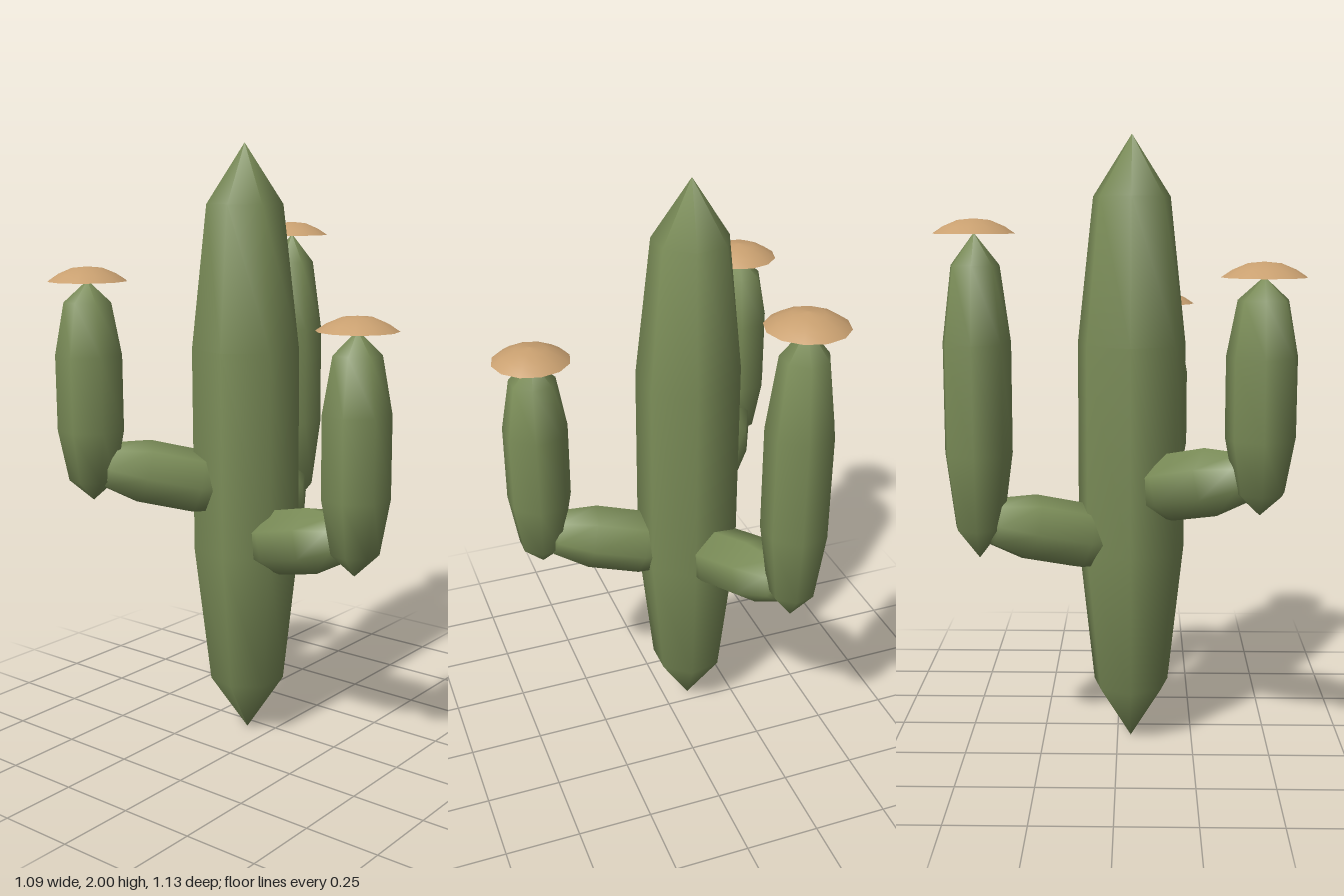
import * as THREE from 'three';

const SIDES = 7;

// Stretched seven-sided capsule between two points; caps take a third of the length each
function stem(name, from, to, radius, material) {
  const dir = to.clone().sub(from);
  const len = dir.length();
  dir.normalize();
  const k = Math.SQRT1_2;
  const cap = len * 0.33;
  const profile = [
    [0, 0], [radius * k, cap * (1 - k)], [radius, cap],
    [radius, len - cap], [radius * k, len - cap * (1 - k)], [0, len],
  ].map(([r, y]) => new THREE.Vector2(r, y));
  const mesh = new THREE.Mesh(new THREE.LatheGeometry(profile, SIDES, -Math.PI / 2), material);
  mesh.name = name;
  // Sloping stems keep one edge level with the ground
  if (dir.y < 0.999) {
    const x = new THREE.Vector3().crossVectors(dir, new THREE.Vector3(0, 1, 0)).normalize();
    const z = new THREE.Vector3().crossVectors(x, dir);
    mesh.quaternion.setFromRotationMatrix(new THREE.Matrix4().makeBasis(x, dir, z));
  }
  mesh.position.copy(from);
  return mesh;
}

// Shallow twelve-sided dome with a flat underside
function flower(position, material) {
  const group = new THREE.Group();
  group.name = 'flower';
  const profile = [[0.128, 0], [0.095, 0.022], [0.05, 0.041], [0, 0.046]]
    .map(([r, y]) => new THREE.Vector2(r, y));
  const dome = new THREE.Mesh(new THREE.LatheGeometry(profile, 12), material);
  dome.name = 'flowerDome';
  const base = new THREE.Mesh(new THREE.CircleGeometry(0.128, 12), material);
  base.name = 'flowerUnderside';
  base.rotation.x = Math.PI / 2;
  group.add(dome, base);
  group.position.copy(position);
  return group;
}

export function createModel() {
  const green = new THREE.MeshStandardMaterial({ color: 0x7b8d58 });
  green.name = 'cactus green';
  const tan = new THREE.MeshStandardMaterial({ color: 0xc9a070 });
  tan.name = 'flower tan';

  const model = new THREE.Group();
  model.name = 'cactus';
  const cx = -0.09, cz = 0.045;
  const v = (x, y, z) => new THREE.Vector3(x, y, z);

  model.add(stem('trunk', v(cx, 0, cz), v(cx, 2, cz), 0.18, green));

  // Each arm leaves the trunk axis, rises slightly, then turns upright
  const arms = [
    { name: 'leftArm', x: 0.415, z: 0.137, bottom: 0.67, top: 1.44 },
    { name: 'frontArm', x: -0.42, z: 0.437, bottom: 0.85, top: 1.57 },
    { name: 'backArm', x: -0.26, z: -0.437, bottom: 0.67, top: 1.695 },
  ];
  for (const a of arms) {
    const arm = new THREE.Group();
    arm.name = a.name;
    arm.add(
      stem('branch', v(cx, a.bottom, cz), v(a.x, a.bottom + 0.125, a.z), 0.11, green),
      stem('upright', v(a.x, a.bottom, a.z), v(a.x, a.top, a.z), 0.11, green),
      flower(v(a.x, a.top - 0.003, a.z), tan),
    );
    model.add(arm);
  }
  return model;
}
